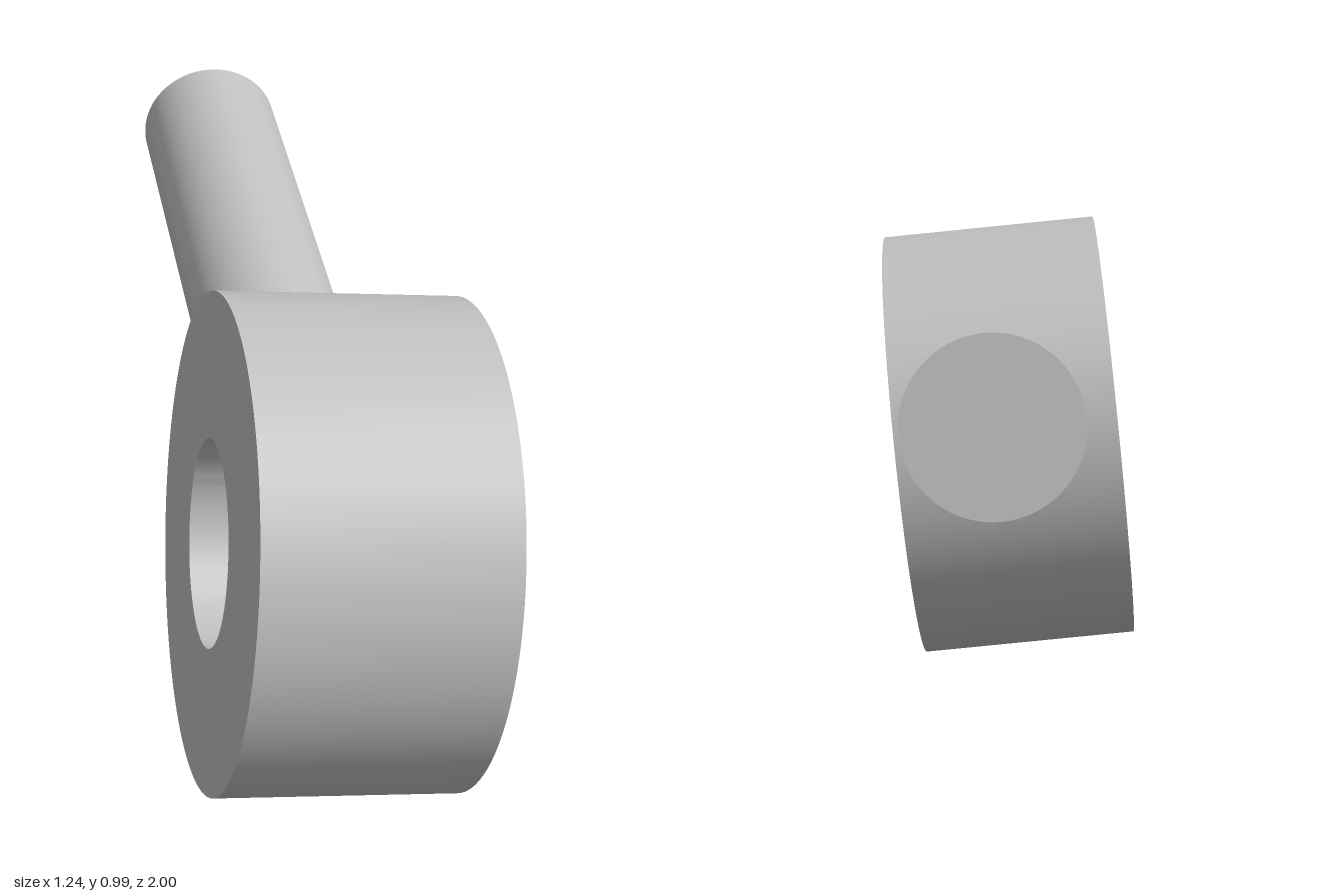
import * as THREE from 'three';
import { toCreasedNormals } from 'three/addons/utils/BufferGeometryUtils.js';

export function createModel() {
  const model = new THREE.Group();
  model.name = 'eyeRod';
  const grey = new THREE.MeshStandardMaterial({ color: 0xc0c0c0 });
  grey.name = 'grey';

  const outer = 0.475, inner = 0.198, half = 0.236;
  const rodRadius = 0.156, rodStart = 0.32, rodEnd = 1.589;

  // Thick ring with a through hole, turned about local y
  const profile = [
    [inner, -half], [outer, -half], [outer, half], [inner, half], [inner, -half],
  ].map(([x, y]) => new THREE.Vector2(x, y));
  const ring = new THREE.Mesh(
    toCreasedNormals(new THREE.LatheGeometry(profile, 128), Math.PI / 6), grey);
  ring.name = 'ring';

  // Round rod running radially out of the ring along local x
  const rodGeometry = new THREE.CylinderGeometry(rodRadius, rodRadius, rodEnd - rodStart, 96);
  rodGeometry.rotateZ(-Math.PI / 2);
  rodGeometry.translate((rodStart + rodEnd) / 2, 0, 0);
  const rod = new THREE.Mesh(rodGeometry, grey);
  rod.name = 'rod';

  // Tilted pose: local y is the ring axis, local x the rod direction
  const axis = new THREE.Vector3(0.904, -0.1, 0.417).normalize();
  const along = new THREE.Vector3(0.427, 0.2, -0.882);
  along.addScaledVector(axis, -along.dot(axis)).normalize();
  const side = new THREE.Vector3().crossVectors(along, axis);
  const assembly = new THREE.Group();
  assembly.name = 'tiltedAssembly';
  assembly.quaternion.setFromRotationMatrix(new THREE.Matrix4().makeBasis(along, axis, side));
  assembly.position.set(-0.203, 0.496, 0.472);
  assembly.add(ring, rod);
  model.add(assembly);
  return model;
}
